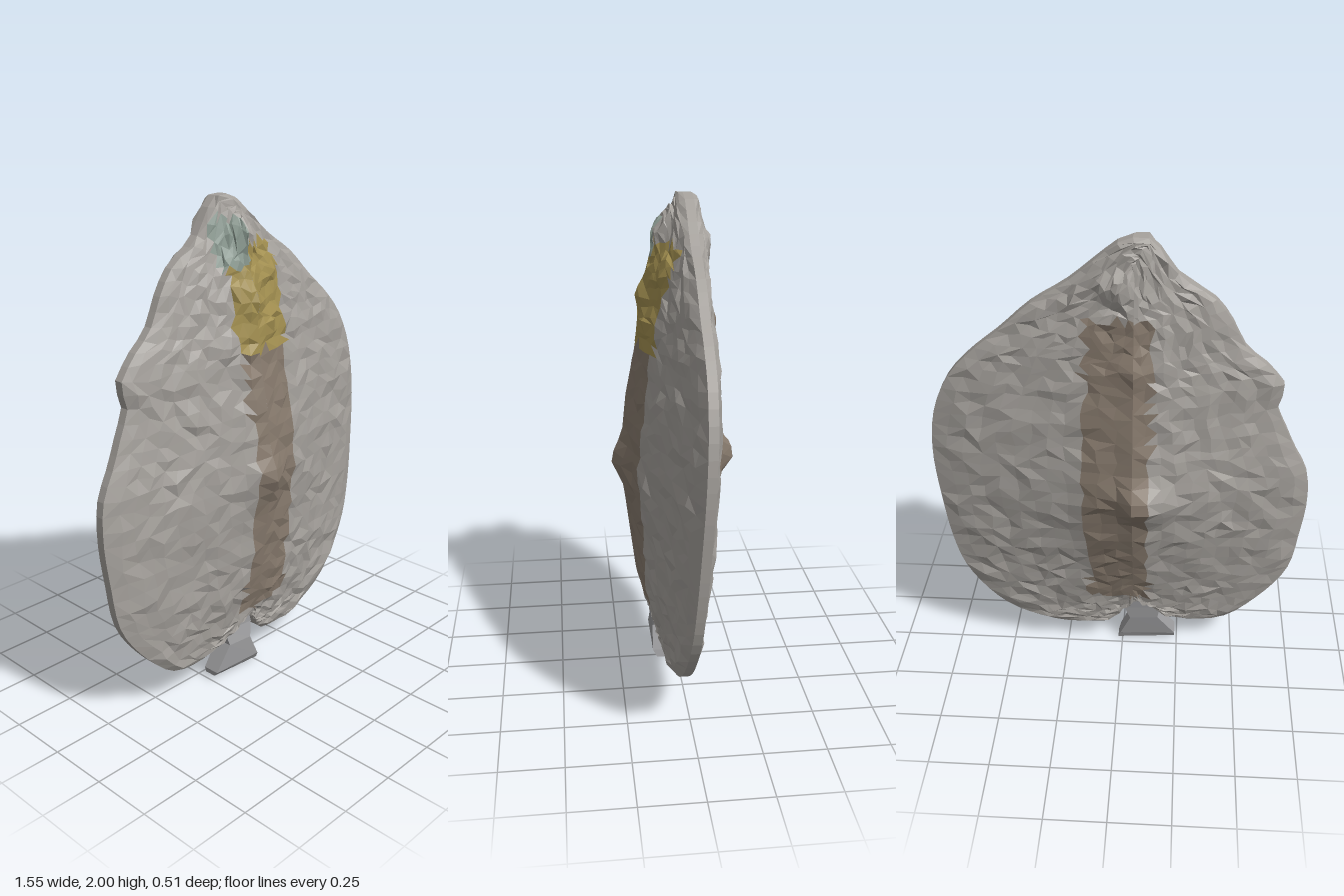
import * as THREE from 'three';

// Outline of the shell, clockwise from the crown when facing the front
const OUTLINE = [
  [-0.1, 2], [0, 1.99], [0.08, 1.93], [0.2, 1.83], [0.34, 1.74], [0.46, 1.63], [0.58, 1.53], [0.67, 1.43],
  [0.74, 1.28], [0.77, 1.08], [0.755, 0.8], [0.73, 0.6], [0.69, 0.45], [0.6, 0.3], [0.5, 0.2], [0.38, 0.14],
  [0.25, 0.105], [0.06, 0.12], [0.03, 0.17], [-0.01, 0.22], [-0.16, 0.21], [-0.21, 0.15], [-0.28, 0.125],
  [-0.45, 0.14], [-0.56, 0.22], [-0.72, 0.43], [-0.76, 0.65], [-0.775, 0.82], [-0.76, 0.97], [-0.7, 1.09],
  [-0.66, 1.18], [-0.61, 1.31], [-0.64, 1.37], [-0.56, 1.48], [-0.48, 1.55], [-0.41, 1.68], [-0.35, 1.76], [-0.22, 1.85],
];

// Ridge height above the rim, as [y, height]
const FRONT = [[0.25, 0.05], [0.4, 0.105], [0.6, 0.14], [0.92, 0.195], [1.2, 0.18], [1.4, 0.15], [1.6, 0.14], [1.8, 0.1], [1.9, 0.08]];
const BACK = [[0.25, 0.02], [0.5, 0.075], [0.7, 0.13], [0.92, 0.175], [1.2, 0.14], [1.5, 0.095], [1.8, 0.055], [1.9, 0.03]];

// Pointed bumps, as [x, y, height, radius]
const FRONT_BUMPS = [[-0.05, 0.92, 0.04, 0.12], [-0.02, 1.86, 0.03, 0.07], [0.1, 1.72, 0.03, 0.06], [-0.06, 1.62, 0.025, 0.07], [0.04, 1.5, 0.025, 0.07], [-0.2, 1.46, 0.02, 0.06]];
const BACK_BUMPS = [[-0.1, 0.92, 0.09, 0.12], [0.02, 1.82, 0.035, 0.08], [-0.06, 1.5, 0.025, 0.08]];

const RIM = 0.03;
const SPINE_X = -0.05;
const RINGS = 12;
const SEGMENTS = 96;

// The shell leans slightly back and twists toward its left edge
const midZ = (x, y) => 0.05 * (1 - y) - 0.042 * x;

function lookup(table, y) {
  for (let i = 1; i < table.length; i++) {
    const [y0, v0] = table[i - 1];
    const [y1, v1] = table[i];
    if (y <= y1) return THREE.MathUtils.lerp(v0, v1, THREE.MathUtils.clamp((y - y0) / (y1 - y0), 0, 1));
  }
  return table[table.length - 1][1];
}

function hash(a, b, c) {
  const v = Math.sin(a * 127.1 + b * 311.7 + c * 74.7) * 43758.5453;
  return v - Math.floor(v) - 0.5;
}

function material(color) {
  return new THREE.MeshStandardMaterial({ color, flatShading: true, roughness: 0.9, side: THREE.DoubleSide });
}

function meshFrom(name, positions, color) {
  const geometry = new THREE.BufferGeometry();
  geometry.setAttribute('position', new THREE.Float32BufferAttribute(positions, 3));
  geometry.computeVertexNormals();
  const mesh = new THREE.Mesh(geometry, material(color));
  mesh.name = name;
  return mesh;
}

const COLORS = { shell: 0xa5a19c, ridgeBand: 0x887b6e, yellowPatch: 0xa28f50, tealPatch: 0x8a9990 };

// Colour region for a facet centre
function region(x, y, side) {
  const dx = Math.abs(x - 0.01);
  if (side > 0) {
    if (y > 1.74 && y < 1.92 && x < -0.04 && x > -0.17) return 'tealPatch';
    if (y > 1.42 && y < 1.82 && dx < 0.15) return 'yellowPatch';
  }
  if (y > 0.3 && y < (side > 0 ? 1.42 : 1.7) && dx < 0.13) return 'ridgeBand';
  return 'shell';
}

function createShell() {
  const curve = new THREE.CatmullRomCurve3(OUTLINE.map(([x, y]) => new THREE.Vector3(x, y, 0)), true, 'centripetal');
  const rim = curve.getSpacedPoints(SEGMENTS).slice(0, SEGMENTS);
  const buckets = { shell: [], ridgeBand: [], yellowPatch: [], tealPatch: [] };

  // Point on one face: ring 0 lies on the spine, the last ring on the rim
  function point(side, ring, i) {
    const edge = rim[i];
    const s = ring / RINGS;
    const spineY = 0.25 + ((edge.y - 0.1) / 1.9) * 1.65;
    const loose = ring > 0 && ring < RINGS ? 1 : 0;
    const x = THREE.MathUtils.lerp(SPINE_X, edge.x, s) + loose * 0.022 * hash(i, ring, side);
    const y = THREE.MathUtils.lerp(spineY, edge.y, s) + loose * 0.022 * hash(ring, i, side + 5);
    let h = RIM * (ring === RINGS ? 0.6 : 1) + lookup(side > 0 ? FRONT : BACK, spineY) * Math.pow(1 - s, 1.05);
    for (const [bx, by, height, radius] of side > 0 ? FRONT_BUMPS : BACK_BUMPS) {
      h += height * Math.max(0, 1 - Math.hypot(x - bx, y - by) / radius);
    }
    h += loose * 0.016 * hash(i, ring, side + 9);
    return [x, y, midZ(x, y) + side * h];
  }

  function triangle(a, b, c, side) {
    const key = region((a[0] + b[0] + c[0]) / 3, (a[1] + b[1] + c[1]) / 3, side);
    buckets[key].push(...a, ...b, ...c);
  }

  for (let i = 0; i < SEGMENTS; i++) {
    const j = (i + 1) % SEGMENTS;
    for (const side of [1, -1]) {
      for (let k = 0; k < RINGS; k++) {
        const a = point(side, k, i), b = point(side, k + 1, i);
        const c = point(side, k + 1, j), d = point(side, k, j);
        const quad = hash(i, k, 3) > 0 ? [[a, c, b], [a, d, c]] : [[a, d, b], [d, c, b]];
        for (const [p, q, r] of quad) side > 0 ? triangle(p, q, r, side) : triangle(p, r, q, side);
      }
    }
    // Narrow rim strip joining the two faces
    const f0 = point(1, RINGS, i), f1 = point(1, RINGS, j);
    const b0 = point(-1, RINGS, i), b1 = point(-1, RINGS, j);
    buckets.shell.push(...f0, ...f1, ...b0, ...f1, ...b1, ...b0);
  }

  const group = new THREE.Group();
  group.name = 'body';
  for (const key of Object.keys(buckets)) group.add(meshFrom(key, buckets[key], COLORS[key]));
  return group;
}

// Flared tail stub: cross-sections as [left x, left y, right x, right y, z, half depth]
function createTail() {
  const sections = [
    [-0.15, 0.28, -0.03, 0.28, 0.045, 0.03],
    [-0.17, 0.2, -0.01, 0.19, 0.05, 0.03],
    [-0.16, 0.14, -0.035, 0.13, 0.06, 0.04],
    [-0.24, 0.04, 0.01, 0.03, 0.065, 0.037],
    [-0.24, 0.02, 0.02, 0.0, 0.06, 0.025],
  ];
  const rings = sections.map(([x0, y0, x1, y1, z, d]) => [[x0, y0, z + d], [x1, y1, z + d], [x1, y1, z - d], [x0, y0, z - d]]);
  const positions = [];
  for (let k = 0; k < rings.length - 1; k++) {
    for (let i = 0; i < 4; i++) {
      const j = (i + 1) % 4;
      const a = rings[k][i], b = rings[k][j], c = rings[k + 1][j], d = rings[k + 1][i];
      positions.push(...a, ...d, ...c, ...a, ...c, ...b);
    }
  }
  const [a, b, c, d] = rings[rings.length - 1];
  positions.push(...a, ...d, ...c, ...a, ...c, ...b);
  return meshFrom('tail', positions, 0x9a9a9c);
}

export function createModel() {
  const model = new THREE.Group();
  model.name = 'shellCreature';
  model.add(createShell(), createTail());
  return model;
}
